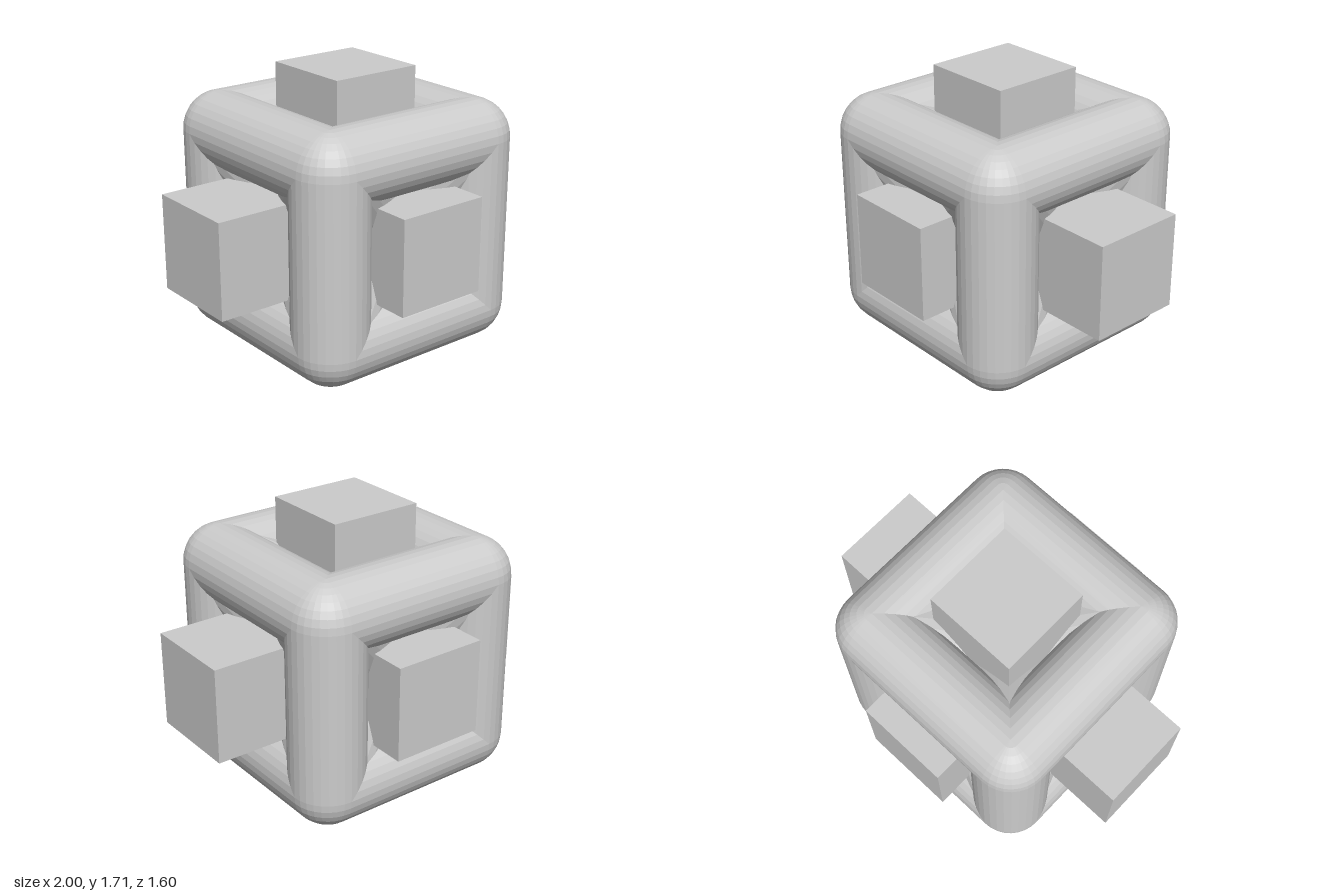
import * as THREE from 'three';

const CY = 0.855;   // height of the centre
const A = 0.48;     // tube axis offset from the centre
const R = 0.21;     // tube radius
const B = 0.265;    // half thickness of the bars

export function createModel() {
  const root = new THREE.Group();
  const frameMat = new THREE.MeshStandardMaterial({ color: 0xcccccc, flatShading: true });
  const barMat = new THREE.MeshStandardMaterial({ color: 0xcccccc });
  const body = new THREE.Group();
  body.name = 'body';
  body.position.y = CY;
  root.add(body);

  const add = (geometry, name, material) => {
    const mesh = new THREE.Mesh(geometry, material);
    mesh.name = name;
    body.add(mesh);
    return mesh;
  };

  // Twelve round edge tubes, four along each axis
  const tube = new THREE.CylinderGeometry(R, R, 2 * A, 32, 1, true);
  for (const s of [-1, 1]) {
    for (const t of [-1, 1]) {
      const ex = add(tube, 'edgeTubeX', frameMat);
      ex.rotation.z = Math.PI / 2;
      ex.position.set(0, s * A, t * A);
      add(tube, 'edgeTubeY', frameMat).position.set(s * A, 0, t * A);
      const ez = add(tube, 'edgeTubeZ', frameMat);
      ez.rotation.x = Math.PI / 2;
      ez.position.set(s * A, t * A, 0);
    }
  }

  // Eight ball corners, each with a flared strut running inward along the diagonal
  const ball = new THREE.SphereGeometry(R, 32, 16);
  const reach = 0.6;
  const strut = new THREE.CylinderGeometry(0.222, 0.222 + 0.265 * reach, reach, 32);
  strut.translate(0, -reach / 2, 0);
  const up = new THREE.Vector3(0, 1, 0);
  for (const x of [-1, 1]) for (const y of [-1, 1]) for (const z of [-1, 1]) {
    const corner = new THREE.Vector3(x, y, z).multiplyScalar(A);
    add(ball, 'cornerBall', frameMat).position.copy(corner);
    const brace = add(strut, 'cornerStrut', frameMat);
    brace.position.copy(corner);
    brace.quaternion.setFromUnitVectors(up, corner.clone().normalize());
  }

  // Three square bars crossing at the centre
  add(new THREE.BoxGeometry(2, 2 * B, 2 * B), 'crossBarX', barMat);
  add(new THREE.BoxGeometry(2 * B, 2 * CY, 2 * B), 'crossBarY', barMat);
  add(new THREE.BoxGeometry(2 * B, 2 * B, 1.595), 'crossBarZ', barMat);

  return root;
}
